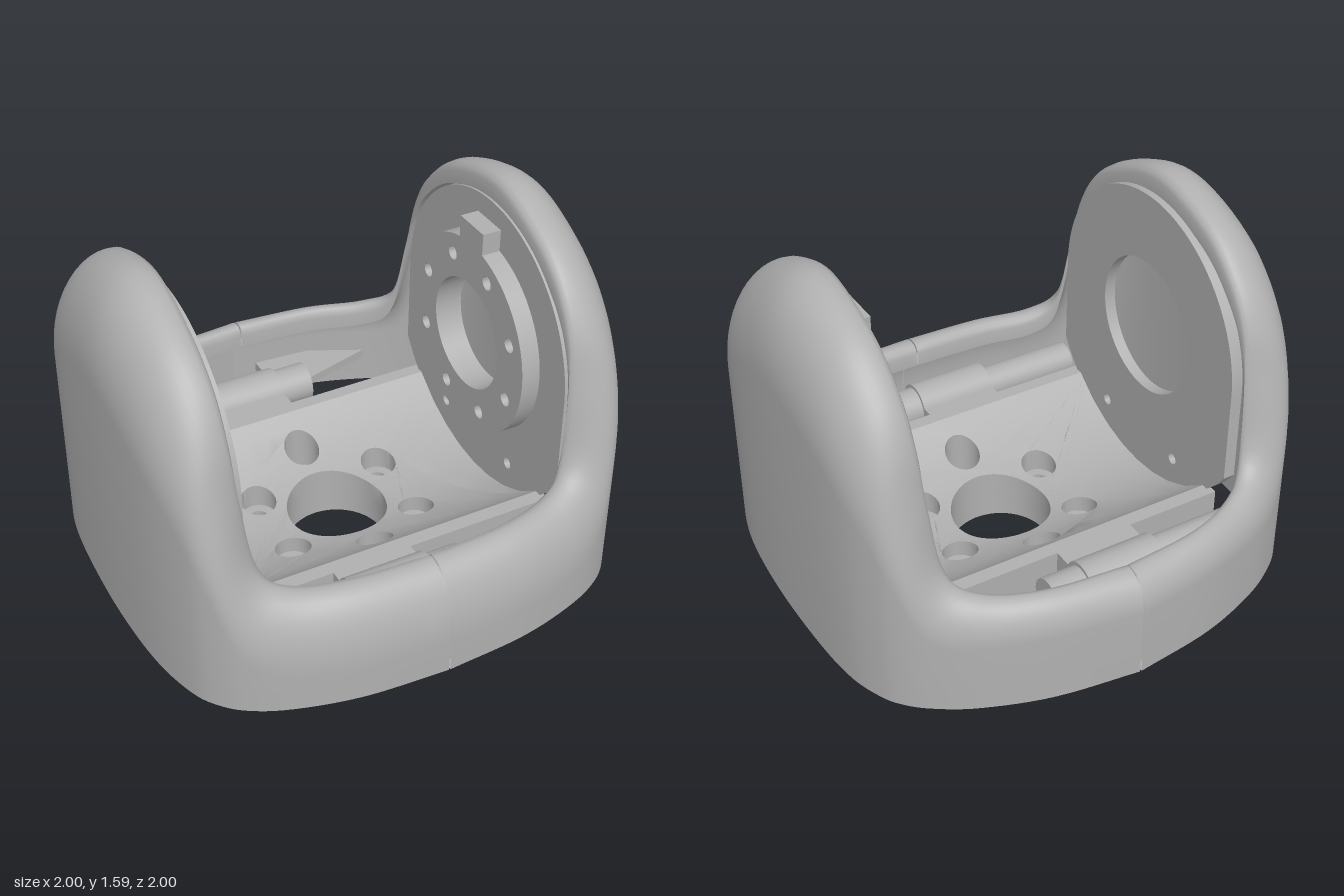
import * as THREE from 'three';
import { toCreasedNormals } from 'three/addons/utils/BufferGeometryUtils.js';

const CY = 0.89, CZ = 0.03; // joint axis, running along x

// Half shell stations, front seam to back seam:
// outer x, outer z, opening x, opening z, ridge height, height of the rounding
const STATIONS = [
  [0.003, 1, 0.003, 0.8, 0.565, 0.3], [0.35, 0.975, 0.32, 0.785, 0.57, 0.3],
  [0.62, 0.91, 0.54, 0.735, 0.585, 0.3], [0.78, 0.835, 0.645, 0.69, 0.68, 0.3],
  [0.87, 0.75, 0.69, 0.65, 0.98, 0.33], [0.92, 0.66, 0.7, 0.6, 1.2, 0.36],
  [0.965, 0.5, 0.7, 0.49, 1.38, 0.38], [0.99, 0.3, 0.7, 0.3, 1.51, 0.4],
  [1, 0.03, 0.7, 0.03, 1.59, 0.4],
  [0.99, -0.28, 0.7, -0.28, 1.51, 0.4], [0.965, -0.48, 0.7, -0.47, 1.36, 0.38],
  [0.92, -0.61, 0.7, -0.57, 1.19, 0.36], [0.87, -0.69, 0.69, -0.62, 0.96, 0.3],
  [0.78, -0.77, 0.65, -0.67, 0.67, 0.22], [0.62, -0.86, 0.54, -0.75, 0.585, 0.17],
  [0.35, -0.95, 0.32, -0.83, 0.57, 0.15], [0.003, -1, 0.003, -0.86, 0.565, 0.15],
];

// One hollow half of the shell, swept through the stations
function halfShell(side) {
  const curve = (f) => new THREE.CatmullRomCurve3(STATIONS.map(f), false, 'catmullrom', 0.5);
  const outer = curve((s) => new THREE.Vector3(s[0], s[5], s[1]));
  const inner = curve((s) => new THREE.Vector3(s[2], s[4], s[3]));
  const N = 96, K = 12, pos = [], idx = [];
  let M = 0;
  for (let i = 0; i <= N; i++) {
    const o = outer.getPoint(i / N), n = inner.getPoint(i / N);
    const H = n.y, rh = o.y, t = 0.045 / Math.hypot(o.x - n.x, o.z - n.z);
    const sec = [[0, 0.12], [0, 0.2]];
    for (let k = 0; k <= K; k++) { // rounded shoulder
      const a = (k / K) * Math.PI / 2;
      sec.push([0.78 * (1 - Math.cos(a)), H - rh + rh * Math.sin(a)]);
    }
    sec.push([0.9, H - 0.004], [0.97, H - 0.018], [1, H - 0.04], [1, H - 0.1], [0.8, H - 0.1]);
    for (let k = K; k >= 0; k--) { // inside of the shoulder
      const a = (k / K) * Math.PI / 2;
      sec.push([t + (0.76 - t) * (1 - Math.cos(a)), H - rh - 0.03 + (rh - 0.05) * Math.sin(a)]);
    }
    sec.push([t, 0.12], [0, 0.12]);
    M = sec.length;
    for (const [s, y] of sec) pos.push(side * (o.x + (n.x - o.x) * s), y, o.z + (n.z - o.z) * s);
  }
  for (let i = 0; i < N; i++) for (let j = 0; j < M - 1; j++) {
    const a = i * M + j, b = a + M;
    if (side > 0) idx.push(a, b, a + 1, b, b + 1, a + 1);
    else idx.push(a, a + 1, b, b, a + 1, b + 1);
  }
  const g = new THREE.BufferGeometry();
  g.setAttribute('position', new THREE.Float32BufferAttribute(pos, 3));
  g.setIndex(idx);
  return toCreasedNormals(g, 0.8);
}

function addHole(shape, x, y, r) {
  shape.holes.push(new THREE.Path().absarc(x, y, r, 0, Math.PI * 2, true));
}

function addBoltHoles(shape, x, y, ring, r, count) {
  for (let k = 0; k < count; k++) {
    const a = ((k + 0.5) / count) * Math.PI * 2;
    addHole(shape, x + ring * Math.cos(a), y + ring * Math.sin(a), r);
  }
}

function extrude(shape, depth) {
  const g = new THREE.ExtrudeGeometry(shape, { depth, bevelEnabled: false, curveSegments: 32 });
  return toCreasedNormals(g, 0.6);
}

// Extrusions seen from above (shape y = -z) and from the side (shape x = -z)
const slab = (shape, y, h) => extrude(shape, h).rotateX(-Math.PI / 2).translate(0, y, 0);
const sidePlate = (shape, x, w) => extrude(shape, w).rotateY(Math.PI / 2).translate(x, 0, 0);

// Round flange with a square key on its +x side
function flangeShape(hole, ring, boltR, count) {
  const R = 0.425, h = 0.085, a = Math.asin(h / R);
  const s = new THREE.Shape();
  s.absarc(0, 0, R, a, Math.PI * 2 - a, false);
  s.lineTo(0.51, -h);
  s.lineTo(0.51, h);
  s.closePath();
  addHole(s, 0, 0, hole);
  addBoltHoles(s, 0, 0, ring, boltR, count);
  return s;
}

// Round-topped plate closing the inner side of an arm
function armPlateShape(hole) {
  const s = new THREE.Shape();
  s.absarc(-CZ, CY, 0.6, 0, Math.PI, false);
  s.absarc(-CZ, CY, 0.72, Math.PI + 0.584, Math.PI * 2 - 0.584, false);
  s.closePath();
  addHole(s, -CZ, CY, hole);
  for (const d of [-0.25, 0.25]) addHole(s, -CZ + d, 0.36, 0.025);
  return s;
}

// Split long edges so a flat slab can be bent
function subdivide(geo, maxLen) {
  const p = geo.attributes.position, out = [];
  const split = (a, b, c) => {
    const l = [a.distanceTo(b), b.distanceTo(c), c.distanceTo(a)];
    const m = Math.max(...l);
    if (m < maxLen) return out.push(...a, ...b, ...c);
    if (m === l[1]) [a, b, c] = [b, c, a];
    else if (m === l[2]) [a, b, c] = [c, a, b];
    const mid = a.clone().add(b).multiplyScalar(0.5);
    split(a, mid, c);
    split(mid, b, c);
  };
  const v = (i) => new THREE.Vector3().fromBufferAttribute(p, i);
  for (let i = 0; i < p.count; i += 3) split(v(i), v(i + 1), v(i + 2));
  const g = new THREE.BufferGeometry();
  g.setAttribute('position', new THREE.Float32BufferAttribute(out, 3));
  return g;
}

// Base floor: flat below, hollowed to a cylinder around the joint axis above
function cradleGeometry() {
  const s = new THREE.Shape();
  s.moveTo(-0.69, -0.5); s.lineTo(0.71, -0.5); s.lineTo(0.71, 0.44); s.lineTo(-0.69, 0.44);
  s.closePath();
  addHole(s, 0.02, -CZ, 0.21);
  addBoltHoles(s, 0.02, -CZ, 0.33, 0.075, 6);
  const g = subdivide(slab(s, 0.12, 0.07), 0.12), p = g.attributes.position;
  for (let i = 0; i < p.count; i++) {
    if (p.getY(i) > 0.15) p.setY(i, CY - Math.sqrt(0.49 - (p.getZ(i) - CZ) ** 2));
  }
  return toCreasedNormals(g, 0.6);
}

export function createModel() {
  const model = new THREE.Group();
  const grey = new THREE.MeshStandardMaterial({ color: 0xb0b0b0, side: THREE.DoubleSide });
  grey.name = 'grey';
  const add = (name, geo) => {
    const m = new THREE.Mesh(geo, grey);
    m.name = name;
    model.add(m);
  };
  const box = (x0, x1, y0, y1, z0, z1) => new THREE.BoxGeometry(x1 - x0, y1 - y0, z1 - z0)
    .translate((x0 + x1) / 2, (y0 + y1) / 2, (z0 + z1) / 2);
  const rod = (x0, x1, r, y, z) => new THREE.CylinderGeometry(r, r, x1 - x0, 32)
    .rotateZ(Math.PI / 2).translate((x0 + x1) / 2, y, z);

  add('leftShell', halfShell(1));
  add('rightShell', halfShell(-1));

  // Arm plates and the joint flange
  add('rightArmPlate', sidePlate(armPlateShape(0.3), -0.72, 0.05));
  add('leftArmPlate', sidePlate(armPlateShape(0.24), 0.69, 0.04));
  add('jointFlange', extrude(flangeShape(0.24, 0.34, 0.03, 8), 0.09)
    .rotateZ(Math.PI / 2).rotateY(Math.PI / 2).translate(0.61, CY, CZ));

  // Base
  add('baseFlange', slab(flangeShape(0.21, 0.33, 0.036, 6), 0, 0.125).translate(0.02, 0, CZ));
  add('cradle', cradleGeometry());

  // Ledges, curved flanges and clamp bosses at the front and back
  for (const d of [1, -1]) {
    const name = d > 0 ? 'front' : 'back';
    const edge = d > 0 ? 0.56 : 0.5, zc = d > 0 ? 0.7 : 0.67;
    const zs = (a, b) => (d > 0 ? [a, b] : [-b, -a]);
    add(name + 'Ledge', box(-0.69, 0.71, 0.12, 0.37, ...zs(edge - 0.06, edge)));

    const bulge = new THREE.Shape();
    bulge.moveTo(-0.52, -d * (edge - 0.02));
    bulge.bezierCurveTo(-0.36, -d * edge, -0.35, -d * (edge + 0.14), 0, -d * (edge + 0.14));
    bulge.bezierCurveTo(0.35, -d * (edge + 0.14), 0.36, -d * edge, 0.52, -d * (edge - 0.02));
    bulge.closePath();
    add(name + 'BaseFlange', slab(bulge, 0.12, 0.06));

    add(name + 'Boss', rod(-0.27, 0.07, 0.1, 0.33, d * zc));
    add(name + 'BossWeb', box(-0.27, 0.07, 0.23, 0.37, ...zs(edge - 0.02, zc)));
    add(name + 'LongRod', rod(-0.7, -0.27, 0.075, 0.33, d * (zc - 0.01)));
    add(name + 'ShortRod', rod(0.07, 0.22, 0.085, 0.33, d * zc));

    const pts = d > 0
      ? [[0.07, 0.8], [0.07, 0.64], [0.22, 0.66], [0.42, 0.77], [0.3, 0.79]]
      : [[0.07, -0.87], [0.07, -0.62], [0.22, -0.65], [0.55, -0.74], [0.32, -0.85]];
    const gusset = new THREE.Shape(pts.map(([x, z]) => new THREE.Vector2(x, -z)));
    add(name + 'Gusset', slab(gusset, 0.31, 0.04));
  }
  return model;
}
